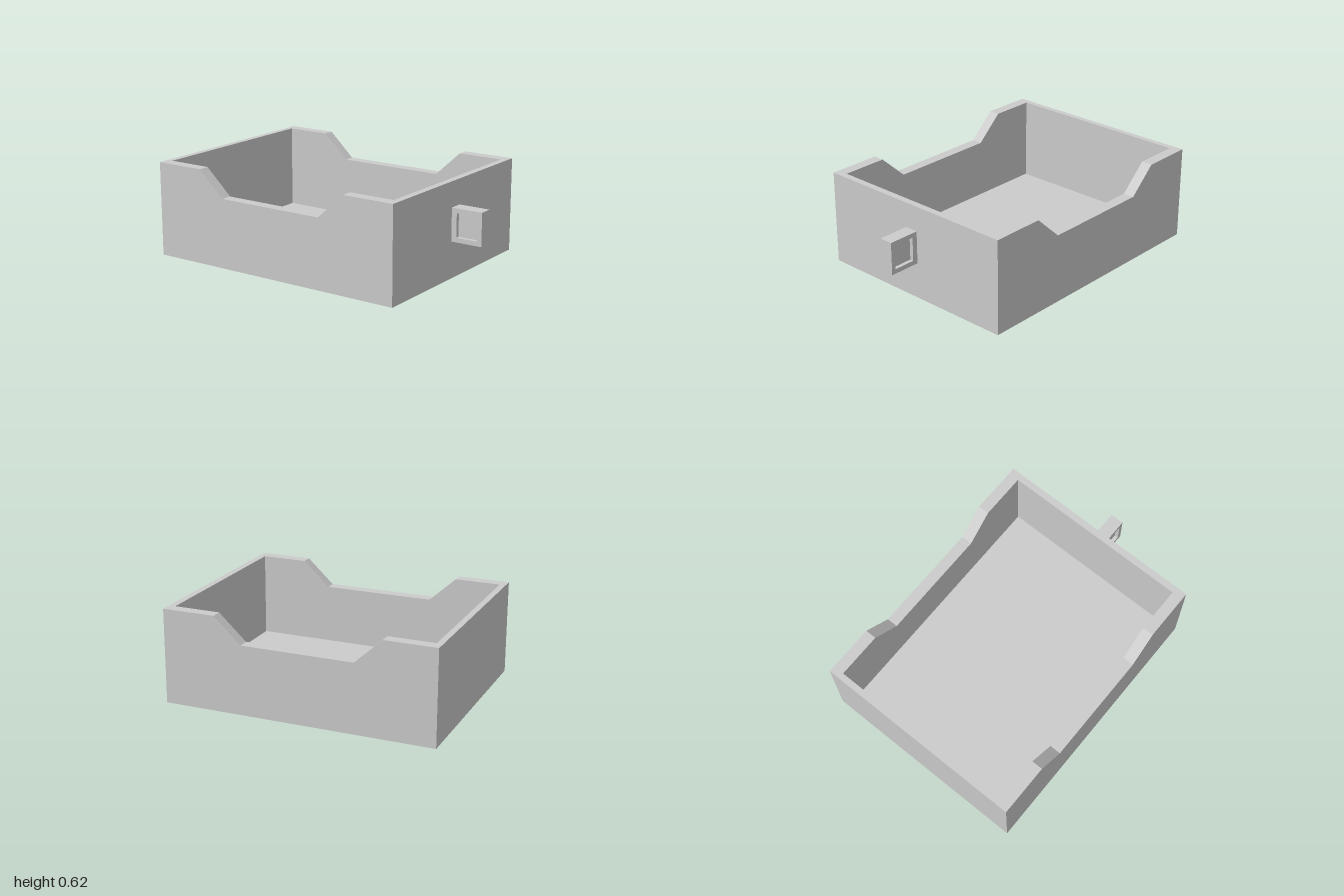
import * as THREE from 'three';

const material = new THREE.MeshStandardMaterial({ color: 0xcccccc, flatShading: true });

// Hollow tray: a wall section swept through stations around the rim
function trayGeometry() {
  const X = 0.7, IX = 0.626, H = 0.62, LOW = 0.455, FLOOR = 0.065;
  const front = [0.79, 0.746], back = [-1, -0.96];
  // along one side, front to back: [outer z, inner z, rim height]
  const side = [
    [...front, H],
    [0.44, 0.44, H], [0.26, 0.26, LOW],
    [-0.48, -0.48, LOW], [-0.66, -0.66, H],
    [...back, H],
  ];
  const section = (s, [oz, iz, top]) => [
    [s * X, 0, oz], [s * X, top, oz], [s * IX, top, iz], [s * IX, FLOOR, iz],
  ];
  const loop = [
    ...side.map((p) => section(1, p)),
    ...side.slice().reverse().map((p) => section(-1, p)),
  ];
  const positions = [];
  const quad = (a, b, c, d) => positions.push(...a, ...b, ...c, ...a, ...c, ...d);
  loop.forEach((a, i) => {
    const b = loop[(i + 1) % loop.length];
    for (let k = 0; k < 3; k++) quad(a[k], b[k], b[k + 1], a[k + 1]);
  });
  // inner floor and underside
  const n = side.length;
  const corners = [loop[2 * n - 1], loop[0], loop[n - 1], loop[n]];
  quad(...corners.map((c) => c[3]));
  quad(...corners.map((c) => c[0]).reverse());

  const geometry = new THREE.BufferGeometry();
  geometry.setAttribute('position', new THREE.Float32BufferAttribute(positions, 3));
  geometry.computeVertexNormals();
  return geometry;
}

function rectangle(path, z0, y0, z1, y1) {
  path.moveTo(z0, y0).lineTo(z1, y0).lineTo(z1, y1).lineTo(z0, y1).closePath();
  return path;
}

// Square pull: a frame with a thin web that leaves a recess on each side
function createHandle() {
  const handle = new THREE.Group();
  handle.name = 'handle';
  const shape = rectangle(new THREE.Shape(), 0.79, 0.24, 1, 0.455);
  shape.holes.push(rectangle(new THREE.Path(), 0.825, 0.27, 0.97, 0.425));
  const frameGeometry = new THREE.ExtrudeGeometry(shape, { depth: 0.09, bevelEnabled: false });
  frameGeometry.rotateY(-Math.PI / 2).translate(0.04, 0, 0);
  const frame = new THREE.Mesh(frameGeometry, material);
  frame.name = 'handleFrame';

  const web = new THREE.Mesh(new THREE.BoxGeometry(0.04, 0.155, 0.145), material);
  web.position.set(-0.005, 0.3475, 0.8975);
  web.name = 'handleWeb';
  handle.add(frame, web);
  return handle;
}

export function createModel() {
  const model = new THREE.Group();
  model.name = 'drawer';
  const tray = new THREE.Mesh(trayGeometry(), material);
  tray.name = 'tray';
  model.add(tray, createHandle());
  return model;
}
